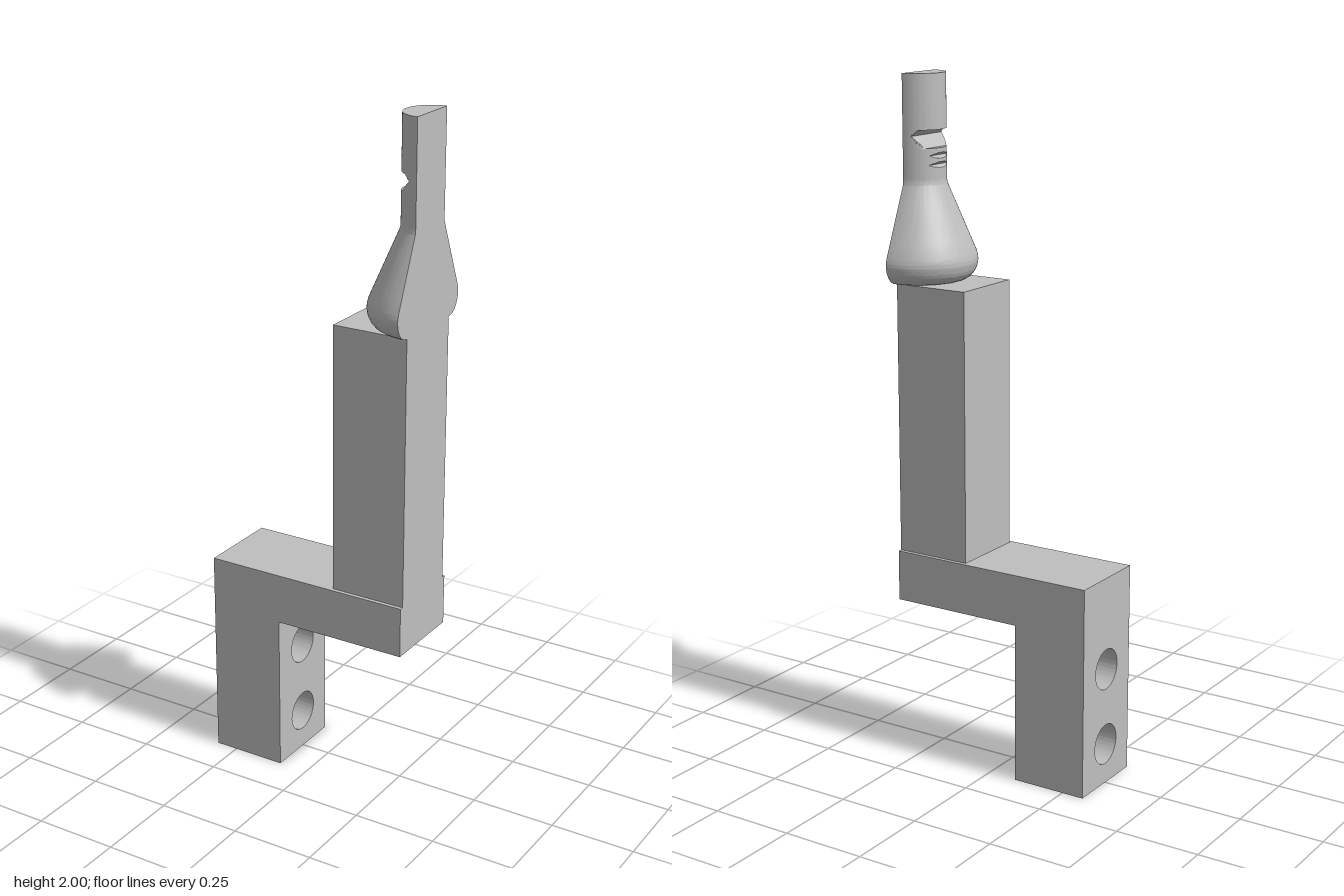
import * as THREE from 'three';
import { toCreasedNormals } from 'three/addons/utils/BufferGeometryUtils.js';

const BACK = 0.316; // plane of the flat side of the upper parts
const SEG = 48;

// Half-round solid lofted upward. Each level is [y, radius, inner limit, outer limit],
// the limits being distances from the flat side, so notches can cut across the round.
function halfRound(levels) {
  const rings = [];
  levels.forEach((b, k) => {
    const a = levels[k - 1];
    const steps = a ? 5 : 1;
    for (let s = 1; s <= steps; s++) {
      const [y, r, lo, hi] = a ? b.map((v, i) => a[i] + (v - a[i]) * s / steps) : b;
      const outer = [], inner = [];
      for (let i = 0; i <= SEG; i++) {
        const t = Math.PI * i / SEG;
        const u = r * Math.sin(t), z = -r * Math.cos(t);
        outer.push([BACK - Math.min(u, hi), y, z]);
        inner.unshift([BACK - Math.min(u, lo), y, z]);
      }
      rings.push([...outer, ...inner]);
    }
  });
  const pos = [];
  const A = new THREE.Vector3(), B = new THREE.Vector3(), C = new THREE.Vector3();
  const tri = (a, b, c) => {
    A.fromArray(a); B.fromArray(b).sub(A); C.fromArray(c).sub(A);
    if (B.cross(C).length() > 1e-9) pos.push(...a, ...b, ...c);
  };
  const quad = (a, b, c, d) => { tri(a, b, c); tri(a, c, d); };
  const n = 2 * (SEG + 1);
  for (let k = 0; k + 1 < rings.length; k++) {
    const p = rings[k], q = rings[k + 1];
    for (let i = 0; i < n; i++) {
      const j = (i + 1) % n;
      quad(p[i], p[j], q[j], q[i]);
    }
  }
  const first = rings[0], last = rings[rings.length - 1];
  for (let i = 0; i < SEG; i++) {
    quad(last[i], last[i + 1], last[n - 2 - i], last[n - 1 - i]);
    quad(first[n - 1 - i], first[n - 2 - i], first[i + 1], first[i]);
  }
  const geo = new THREE.BufferGeometry();
  geo.setAttribute('position', new THREE.Float32BufferAttribute(pos, 3));
  return toCreasedNormals(geo, 0.5);
}

function boxBetween(x0, x1, y0, y1, depth) {
  return new THREE.BoxGeometry(x1 - x0, y1 - y0, depth)
    .translate((x0 + x1) / 2, (y0 + y1) / 2, 0);
}

export function createModel() {
  const group = new THREE.Group();
  const grey = new THREE.MeshStandardMaterial({ color: 0xbfbfbf });
  grey.name = 'grey';
  const add = (name, geo) => {
    const mesh = new THREE.Mesh(geo, grey);
    mesh.name = name;
    group.add(mesh);
  };

  // Mounting leg with two bolt holes running along x
  const leg = new THREE.Shape();
  leg.moveTo(-0.127, 0).lineTo(0.127, 0).lineTo(0.127, 0.625).lineTo(-0.127, 0.625).closePath();
  for (const y of [0.12, 0.35]) {
    leg.holes.push(new THREE.Path().absarc(0, y, 0.06, 0, Math.PI * 2, true));
  }
  const legGeo = new THREE.ExtrudeGeometry(leg, { depth: 0.227, bevelEnabled: false, curveSegments: 32 });
  legGeo.rotateY(Math.PI / 2).translate(-0.317, 0, 0);
  add('mountingLeg', toCreasedNormals(legGeo, 0.5));

  // Horizontal arm and upright post
  add('arm', boxBetween(-0.09, BACK, 0.475, 0.625, 0.254));
  add('post', boxBetween(0.087, BACK, 0.625, 1.415, 0.23));

  // Flared half cone with a rounded lower rim
  const cone = [
    [0.12, 1.415], [0.133, 1.418], [0.146, 1.426], [0.156, 1.438], [0.163, 1.453],
    [0.166, 1.47], [0.165, 1.483], [0.161, 1.497], [0.083, 1.682], [0.079, 1.693], [0.078, 1.705],
  ];
  add('flaredCone', halfRound(cone.map(([r, y]) => [y, r, 0, 1])));

  // Half-round shaft with two small teeth cuts and a diamond notch
  const R = 0.078;
  const shaft = [
    [1.705, R], [1.738, R], [1.746, 0.066], [1.754, R], [1.764, R], [1.772, 0.066], [1.78, R],
    [1.793, R], [1.793, 0.059], [1.827, 0.026], [1.86, 0.059], [1.86, R], [2, R],
  ];
  add('shaft', halfRound(shaft.map(([y, hi]) => [y, R, 0, hi])));

  // Overhanging lip above the notch
  add('notchLip', halfRound([[1.844, R, R, R], [1.86, R, 0.059, R]]));
  return group;
}
